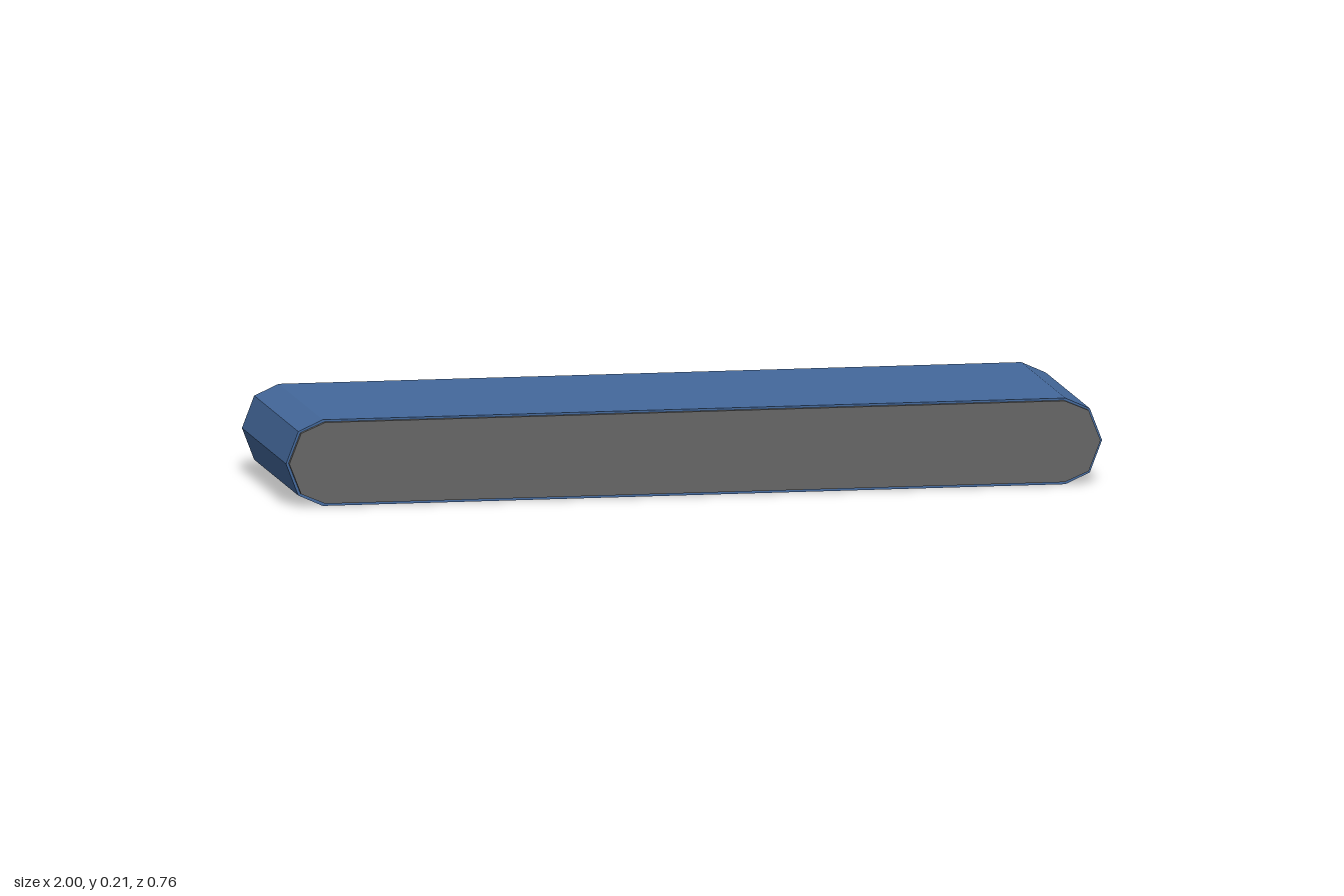
import * as THREE from 'three';

const mat = (name, color) => {
  const m = new THREE.MeshStandardMaterial({ color });
  m.name = name;
  return m;
};

// Upright slab with cut corners: outline in x/y, extruded from z0 to z1
function slab(name, corner, cx, cy, z0, z1, material) {
  const flip = ([x, y]) => [x, -y];
  const right = [...corner.map(flip), ...corner.slice().reverse().filter(p => p[1] > 0)];
  const left = right.map(([x, y]) => [-x, y]).reverse();
  const points = [...right, ...left].map(([x, y]) => new THREE.Vector2(cx + x, cy + y));
  const shape = new THREE.Shape(points);
  const geo = new THREE.ExtrudeGeometry(shape, { depth: z1 - z0, bevelEnabled: false });
  geo.translate(0, 0, z0);
  const mesh = new THREE.Mesh(geo, material);
  mesh.name = name;
  return mesh;
}

// Short cylinder pointing backwards
function collar(name, x, y, z0, z1, r, sides, material) {
  const geo = new THREE.CylinderGeometry(r, r, z0 - z1, sides);
  geo.rotateX(Math.PI / 2);
  const mesh = new THREE.Mesh(geo, material);
  mesh.position.set(x, y, (z0 + z1) / 2);
  mesh.name = name;
  return mesh;
}

export function createModel() {
  const blue = mat('belt blue', 0x44699c);
  const grey = mat('frame grey', 0x666666);
  const silver = mat('connector silver', 0xc4c6c8);
  const amber = mat('cable amber', 0xb27a0c);

  const group = new THREE.Group();
  group.name = 'conveyor';

  // Belt, and the slightly smaller side plates
  const belt = [[0.91, 0.105], [0.97, 0.078], [1, 0]];
  const plate = [[0.906, 0.099], [0.965, 0.074], [0.994, 0]];
  group.add(slab('belt', belt, 0, 0.105, -0.2, 0.37, blue));
  group.add(slab('frontSidePlate', plate, 0, 0.106, 0.37, 0.382, grey));
  group.add(slab('backSidePlate', plate, 0, 0.106, -0.212, -0.2, grey));

  // Motor housing on the back
  const housing = [[0.19, 0.085], [0.215, 0.045]];
  group.add(slab('motorHousing', housing, -0.715, 0.105, -0.276, -0.212, grey));

  // Cable sockets
  const y = 0.111;
  group.add(collar('largeSocket', -0.875, y, -0.276, -0.294, 0.024, 12, silver));
  group.add(collar('smallSocket', -0.572, y, -0.276, -0.29, 0.0125, 12, silver));

  // Looping cable
  const path = [
    [-0.875, -0.285], [-0.868, -0.32], [-0.845, -0.348], [-0.8, -0.368], [-0.76, -0.373],
    [-0.68, -0.366], [-0.61, -0.343], [-0.58, -0.315], [-0.572, -0.28],
  ];
  const curve = new THREE.CatmullRomCurve3(path.map(([x, z]) => new THREE.Vector3(x, y, z)));
  const cable = new THREE.Mesh(new THREE.TubeGeometry(curve, 32, 0.0085, 10), amber);
  cable.name = 'cable';
  group.add(cable);

  return group;
}
